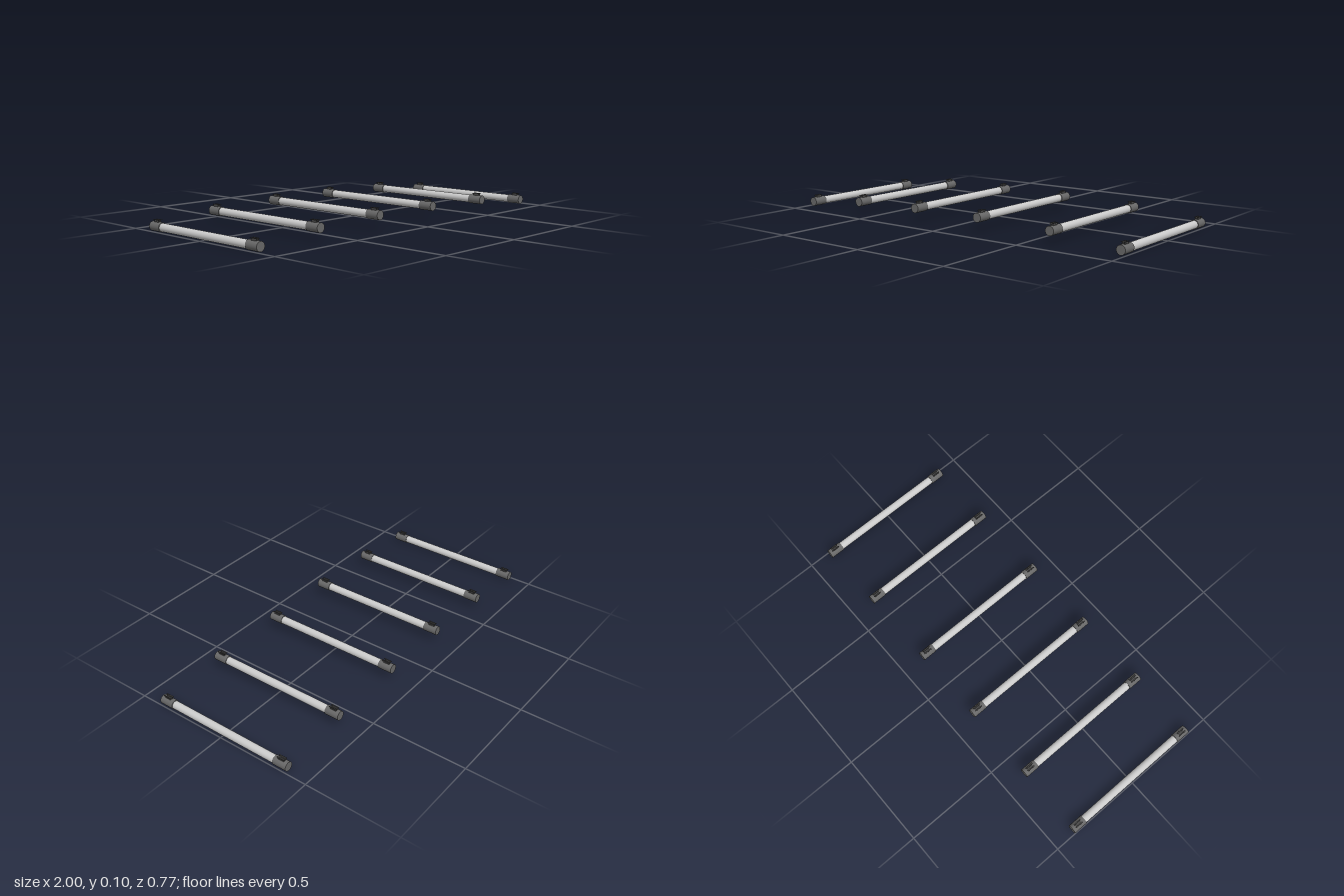
import * as THREE from 'three';

const CAP_R = 0.0235, TUBE_R = 0.0205;
const CAP_IN = 0.311, CAP_OUT = 0.387;

const glass = new THREE.MeshStandardMaterial({ color: 0xcccccc });
const capMat = new THREE.MeshStandardMaterial({ color: 0x686868 });
const clipMat = new THREE.MeshStandardMaterial({ color: 0x484848 });

function add(parent, name, geometry, material, x = 0, y = 0, z = 0) {
  const mesh = new THREE.Mesh(geometry, material);
  mesh.name = name;
  mesh.position.set(x, y, z);
  parent.add(mesh);
  return mesh;
}

// cylinder lying along z
function rod(radius, length) {
  return new THREE.CylinderGeometry(radius, radius, length, 32).rotateX(Math.PI / 2);
}

// spring clip: low base, two walls and outward lips
function makeClip() {
  const clip = new THREE.Group();
  clip.name = 'mountingClip';
  add(clip, 'clipBase', new THREE.BoxGeometry(0.016, 0.004, 0.034), clipMat, 0, 0.0005, 0);
  for (const s of [-1, 1]) {
    add(clip, 'clipWall', new THREE.BoxGeometry(0.002, 0.011, 0.034), clipMat, s * 0.006, 0.004, 0);
    add(clip, 'clipLip', new THREE.BoxGeometry(0.006, 0.002, 0.043), clipMat, s * 0.008, 0.0095, 0);
  }
  return clip;
}

// one lamp: tube, two end caps, two clips
function makeLamp() {
  const lamp = new THREE.Group();
  lamp.name = 'tubeLamp';
  add(lamp, 'tube', rod(TUBE_R, CAP_IN * 2 + 0.02), glass);
  for (const s of [-1, 1]) {
    add(lamp, 'endCap', rod(CAP_R, CAP_OUT - CAP_IN), capMat, 0, 0, s * (CAP_IN + CAP_OUT) / 2);
    const clip = makeClip();
    clip.position.set(0, CAP_R, s * 0.35);
    lamp.add(clip);
  }
  return lamp;
}

export function createModel() {
  const model = new THREE.Group();
  model.name = 'lampRow';
  // lamps follow a shallow arch
  const places = [
    [-0.9765, 0.0235], [-0.62, 0.0595], [-0.22, 0.0705],
    [0.182, 0.0705], [0.604, 0.0595], [0.9765, 0.0235],
  ];
  for (const [x, y] of places) {
    const lamp = makeLamp();
    lamp.position.set(x, y, 0);
    model.add(lamp);
  }
  return model;
}
